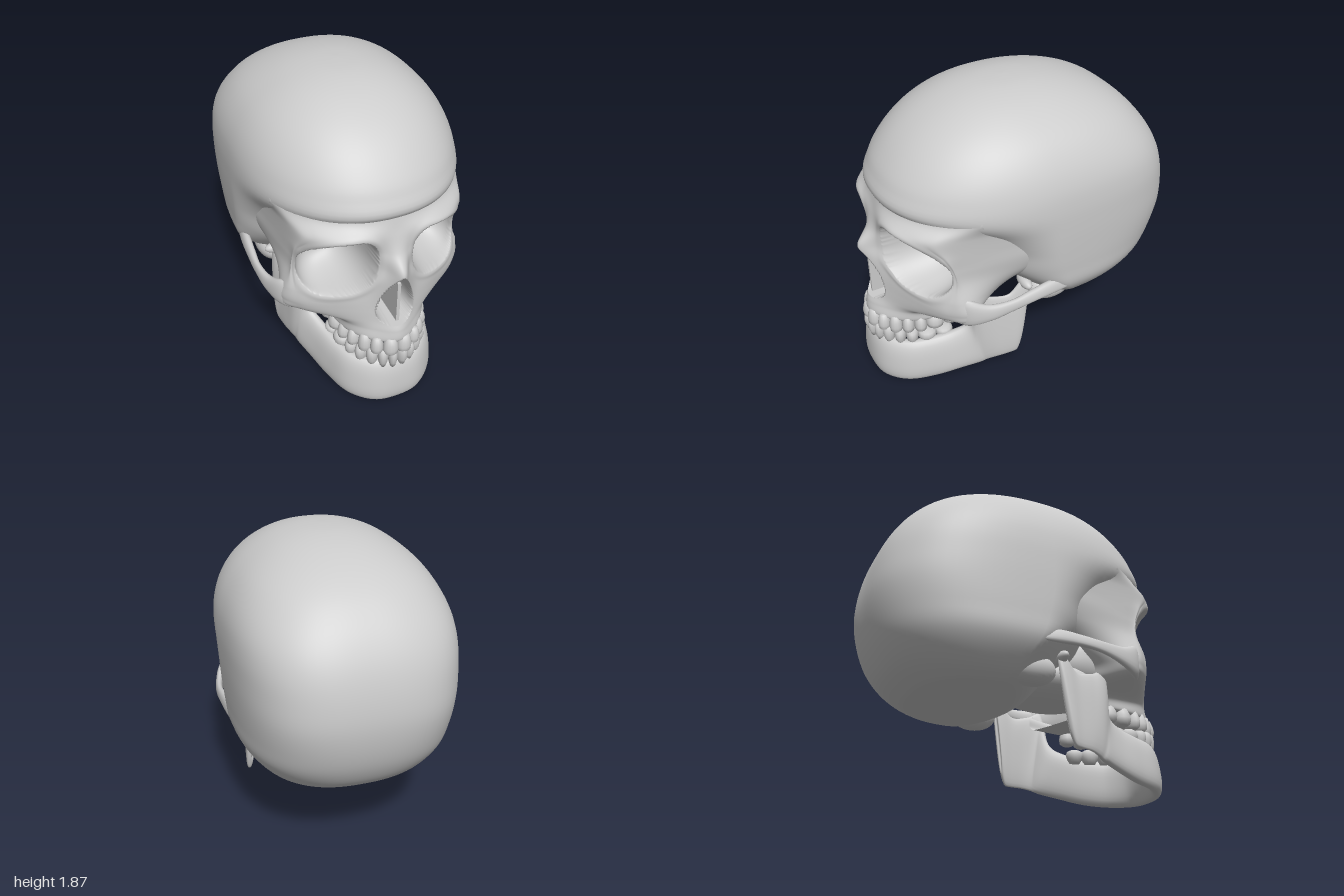
import * as THREE from 'three';
import { ParametricGeometry } from 'three/addons/geometries/ParametricGeometry.js';
import { mergeVertices } from 'three/addons/utils/BufferGeometryUtils.js';

const material = new THREE.MeshStandardMaterial({ color: 0xcccccc, side: THREE.DoubleSide });

// Smooth curve through equally spaced rows of numbers, t from 0 to 1
function sample(rows, t) {
  const last = rows.length - 1;
  const i = Math.min(Math.floor(t * last), last - 1);
  const f = t * last - i;
  const row = (k) => rows[Math.max(0, Math.min(last, k))];
  const [a, b, c, d] = [row(i - 1), row(i), row(i + 1), row(i + 2)];
  return b.map((p, k) => p + 0.5 * f * (c[k] - a[k]
    + f * (2 * a[k] - 5 * p + 4 * c[k] - d[k] + f * (3 * (p - c[k]) + d[k] - a[k]))));
}

// Point on a unit superellipse, as [sine side, cosine side]
function superellipse(angle, n) {
  const s = Math.sin(angle), c = Math.cos(angle);
  const r = Math.pow(Math.abs(s) ** n + Math.abs(c) ** n, -1 / n);
  return [s * r, c * r];
}

// Smooth surface from a rule (u, v) -> [x, y, z]
function surface(rule, nu, nv) {
  const g = new ParametricGeometry((u, v, p) => p.set(...rule(u, v)), nu, nv);
  g.deleteAttribute('uv');
  g.deleteAttribute('normal');
  const merged = mergeVertices(g, 1e-5);
  merged.computeVertexNormals();
  return merged;
}

function add(parent, name, geometry) {
  const mesh = new THREE.Mesh(geometry, material);
  mesh.name = name;
  parent.add(mesh);
  return mesh;
}

function ellipsoid(parent, name, pos, radii) {
  const mesh = add(parent, name, new THREE.SphereGeometry(1, 32, 20));
  mesh.position.set(...pos);
  mesh.scale.set(...radii);
}

// Upright bony plate; rows: [x, z, y of lower edge, x, z, y of upper edge, thickness]
const flip = (rows) => rows.map(([a, b, c, d, ...e]) => [-a, b, c, -d, ...e]).reverse();
function plate(rows, nu, nv) {
  const middle = (t) => {
    const r = sample(rows, Math.max(0, Math.min(1, t)));
    return [(r[0] + r[3]) / 2, (r[1] + r[4]) / 2];
  };
  return surface((u, v) => {
    const r = sample(rows, v);
    const [x0, z0] = middle(v - 0.01), [x1, z1] = middle(v + 0.01);
    const tx = x1 - x0, tz = z1 - z0, len = Math.hypot(tx, tz) || 1;
    const [side, up] = superellipse(u * Math.PI * 2, 2.6);
    const h = (up + 1) / 2, n = side * r[6] / 2;
    const mix = (k) => r[k] + (r[k + 3] - r[k]) * h;
    return [mix(0) - tz / len * n, mix(2), mix(1) + tx / len * n];
  }, nu, nv);
}

// Braincase slices: [y, half width, front z, back z, z of widest point, squareness of back]
const craniumRows = [
  [0.475, 0, -0.38, -0.38, -0.38, 2.2], [0.465, 0.34, -0.12, -0.62, -0.32, 2.3],
  [0.5, 0.47, 0.0, -0.73, -0.25, 2.4], [0.58, 0.56, 0.09, -0.84, -0.2, 2.5],
  [0.7, 0.637, 0.2, -0.92, -0.12, 2.7], [0.84, 0.655, 0.36, -0.97, -0.08, 2.9],
  [1.0, 0.665, 0.43, -0.995, -0.05, 3.1], [1.15, 0.67, 0.57, -0.988, -0.05, 3.1],
  [1.3, 0.668, 0.835, -0.955, -0.05, 3.1], [1.43, 0.65, 0.818, -0.9, -0.05, 3],
  [1.55, 0.605, 0.742, -0.82, -0.04, 2.8], [1.66, 0.53, 0.635, -0.71, -0.03, 2.6],
  [1.75, 0.425, 0.505, -0.565, -0.01, 2.4], [1.82, 0.295, 0.35, -0.38, 0, 2.2],
  [1.86, 0.145, 0.18, -0.18, 0, 2.2], [1.87, 0, 0, 0, 0, 2.2],
];
function cranium(u, v) {
  const [y, w, front, back, zc, n] = sample(craniumRows, v);
  const angle = u * Math.PI * 2;
  const isFront = Math.cos(angle) > 0;
  const frontN = 1.8 + 0.4 * THREE.MathUtils.smoothstep(y, 0.95, 1.3);
  const [s, c] = superellipse(angle, isFront ? frontN : n);
  return [s * w, y, zc + c * (isFront ? front - zc : zc - back)];
}

// Face slice following the forehead of a braincase slice, shrunk by k
function foreheadRow([y, w, front, , zc], k) {
  const z = (x) => zc + (front - zc) * k * Math.pow(1 - (x / w) ** 2.2, 1 / 2.2);
  return [y, ...[0, 0.14, 0.29, 0.43, 0.53, 0.58].flatMap((x) => [x * k, z(x)])];
}

// Face slices from the upper jaw to the brow: [y, then x, z from the midline to the side]
const faceRows = [
  [0.485, 0, 0.955, 0.13, 0.895, 0.235, 0.77, 0.28, 0.62, 0.285, 0.45, 0.26, 0.25],
  [0.56, 0, 0.955, 0.13, 0.885, 0.25, 0.77, 0.305, 0.62, 0.325, 0.45, 0.28, 0.25],
  [0.62, 0, 0.935, 0.13, 0.875, 0.3, 0.77, 0.46, 0.64, 0.535, 0.52, 0.4, 0.33],
  [0.69, 0, 0.925, 0.14, 0.865, 0.32, 0.77, 0.5, 0.65, 0.575, 0.51, 0.44, 0.32],
  [0.78, 0, 0.93, 0.15, 0.855, 0.32, 0.77, 0.5, 0.645, 0.56, 0.52, 0.48, 0.2],
  [0.9, 0, 0.955, 0.13, 0.855, 0.3, 0.755, 0.5, 0.6, 0.525, 0.52, 0.565, 0.08],
  [1.0, 0, 0.97, 0.1, 0.855, 0.3, 0.76, 0.495, 0.61, 0.52, 0.53, 0.6, 0.05],
  [1.1, 0, 0.9, 0.12, 0.85, 0.3, 0.81, 0.485, 0.66, 0.52, 0.55, 0.605, 0.05],
  [1.21, 0, 0.86, 0.14, 0.865, 0.28, 0.845, 0.435, 0.74, 0.515, 0.595, 0.6, 0.15],
];
// The palate folds in under the lowest slice; the top fades into the forehead
const inset = (y, kx, kz) => [y, ...faceRows[0].slice(1).map((p, i) => (i % 2 ? 0.5 + (p - 0.5) * kz : p * kx))];
const maskRows = [inset(0.53, 0.03, 0.05), inset(0.475, 0.75, 0.82), ...faceRows,
  foreheadRow(craniumRows[8], 1), foreheadRow(craniumRows[9], 0.985)];

function face(u, v) {
  const [y, ...p] = sample(maskRows, v);
  const half = [0, 1, 2, 3, 4, 5].map((i) => [p[2 * i], p[2 * i + 1]]);
  const t = Math.abs(u * 2 - 1);
  const mirrored = half.slice(1).reverse().map(([x, z]) => [-x, z]);
  let [x, z] = sample([...mirrored, ...half], 0.5 + t / 2);
  if (t < 0.62 && y > 0.74) {
    // Eye sockets: slanted rounded bowls with a slightly raised rim
    const dx = Math.abs(x - 0.303) / 0.195;
    const dy = Math.abs(y - 1.0 + 0.22 * (x - 0.303)) / 0.2;
    const r = Math.pow(dx ** 2.5 + dy ** 2.5, 1 / 2.5);
    z += 0.006 * Math.exp(-(((r - 1.1) / 0.1) ** 2));
    if (r < 1) z += (0.46 - z) * Math.pow(1 - r ** 4, 0.75);
  }
  // Pear-shaped nose opening
  const h = (y - 0.6) / 0.38;
  if (h > 0 && h < 1 && v > 0.2) {
    const w = 0.115 * Math.pow(Math.sin(Math.PI * h ** 0.48), 0.75);
    const r = Math.abs(x) / w;
    if (r < 1) z -= 0.26 * Math.pow(1 - r ** 4, 0.8);
  }
  return [u < 0.5 ? -x : x, y, z];
}

// Left half of the lower jaw, from chin to jaw joint
const jawRows = [
  [0, 0.94, 0.005, 0, 0.915, 0.32, 0.1], [0.135, 0.92, 0.01, 0.13, 0.885, 0.32, 0.1],
  [0.25, 0.82, 0.02, 0.23, 0.79, 0.32, 0.1], [0.315, 0.66, 0.035, 0.28, 0.66, 0.33, 0.1],
  [0.37, 0.5, 0.07, 0.32, 0.52, 0.36, 0.09], [0.415, 0.38, 0.1, 0.36, 0.43, 0.43, 0.08],
  [0.437, 0.33, 0.12, 0.41, 0.4, 0.65, 0.06], [0.46, 0.27, 0.135, 0.425, 0.31, 0.625, 0.05],
  [0.472, 0.2, 0.14, 0.44, 0.2, 0.61, 0.05], [0.475, 0.16, 0.15, 0.45, 0.12, 0.69, 0.06],
  [0.47, 0.135, 0.21, 0.455, 0.075, 0.69, 0.05], [0.465, 0.13, 0.24, 0.455, 0.07, 0.67, 0],
];

// Left cheek arch, from cheekbone to above the ear
const archRows = [
  [0.43, 0.62, 0.62, 0.43, 0.62, 0.8, 0.02], [0.545, 0.54, 0.605, 0.545, 0.54, 0.8, 0.06],
  [0.605, 0.42, 0.635, 0.6, 0.42, 0.75, 0.05], [0.63, 0.28, 0.67, 0.625, 0.28, 0.745, 0.04],
  [0.632, 0.14, 0.685, 0.62, 0.14, 0.76, 0.045], [0.625, -0.02, 0.685, 0.61, -0.02, 0.77, 0.045],
  [0.615, -0.25, 0.69, 0.6, -0.25, 0.73, 0],
];

// One row of teeth set along the dental arch, mirrored to both sides
function teeth(parent, name, widths, heights, yMid, scaleX, isLower) {
  const row = new THREE.Group();
  row.name = name;
  parent.add(row);
  const arch = new THREE.CatmullRomCurve3([[-0.02, 0.948], [0, 0.948], [0.13, 0.895], [0.215, 0.78], [0.262, 0.65], [0.28, 0.4]]
    .map(([x, z]) => new THREE.Vector3(x * scaleX, 0, z)));
  const profile = [[0, -0.5], [0.34, -0.48], [0.5, -0.36], [0.55, -0.1], [0.48, 0.2], [0.32, 0.5], [0, 0.52]]
    .map(([x, y]) => new THREE.Vector2(x, y));
  const tooth = new THREE.LatheGeometry(profile, 14);
  const length = arch.getLength();
  let s = 0.02;
  widths.forEach((w, i) => {
    const at = (s + w / 2) / length;
    const p = arch.getPointAt(at), t = arch.getTangentAt(at);
    s += w;
    for (const side of [-1, 1]) {
      const mesh = add(row, 'tooth', tooth);
      mesh.position.set(p.x * side, yMid + (isLower ? -1 : 1) * (0.12 - heights[i]) / 2, p.z);
      mesh.rotation.set(0, Math.atan2(-t.z, t.x) * side, isLower ? Math.PI : 0);
      mesh.scale.set(w, heights[i], i < 3 ? 0.08 : 0.1);
    }
  });
}

export function createModel() {
  const skull = new THREE.Group();
  skull.name = 'skull';

  add(skull, 'cranium', surface(cranium, 96, 80));
  add(skull, 'face', surface(face, 220, 180));
  ellipsoid(skull, 'skullBase', [0, 0.67, 0.22], [0.27, 0.14, 0.36]);

  const septum = add(skull, 'nasalSeptum', new THREE.BoxGeometry(0.02, 0.28, 0.24));
  septum.position.set(0, 0.76, 0.8);

  add(skull, 'leftCheekArch', plate(archRows, 20, 40));
  add(skull, 'rightCheekArch', plate(flip(archRows), 20, 40));

  const jaw = new THREE.Group();
  jaw.name = 'lowerJaw';
  skull.add(jaw);
  add(jaw, 'jawBone', plate([...flip(jawRows.slice(1)), ...jawRows], 32, 132));
  for (const side of [-1, 1]) {
    ellipsoid(jaw, 'jawJoint', [0.45 * side, 0.68, 0.095], [0.075, 0.035, 0.035]);
    ellipsoid(skull, 'mastoid', [0.43 * side, 0.58, -0.1], [0.1, 0.1, 0.16]);
  }

  teeth(skull, 'upperTeeth', [0.088, 0.074, 0.078, 0.074, 0.076, 0.105, 0.1],
    [0.125, 0.115, 0.125, 0.115, 0.115, 0.11, 0.105], 0.448, 0.95, false);
  teeth(jaw, 'lowerTeeth', [0.055, 0.06, 0.07, 0.07, 0.076, 0.11, 0.105],
    [0.13, 0.13, 0.13, 0.12, 0.11, 0.095, 0.085], 0.348, 0.93, true);
  return skull;
}
